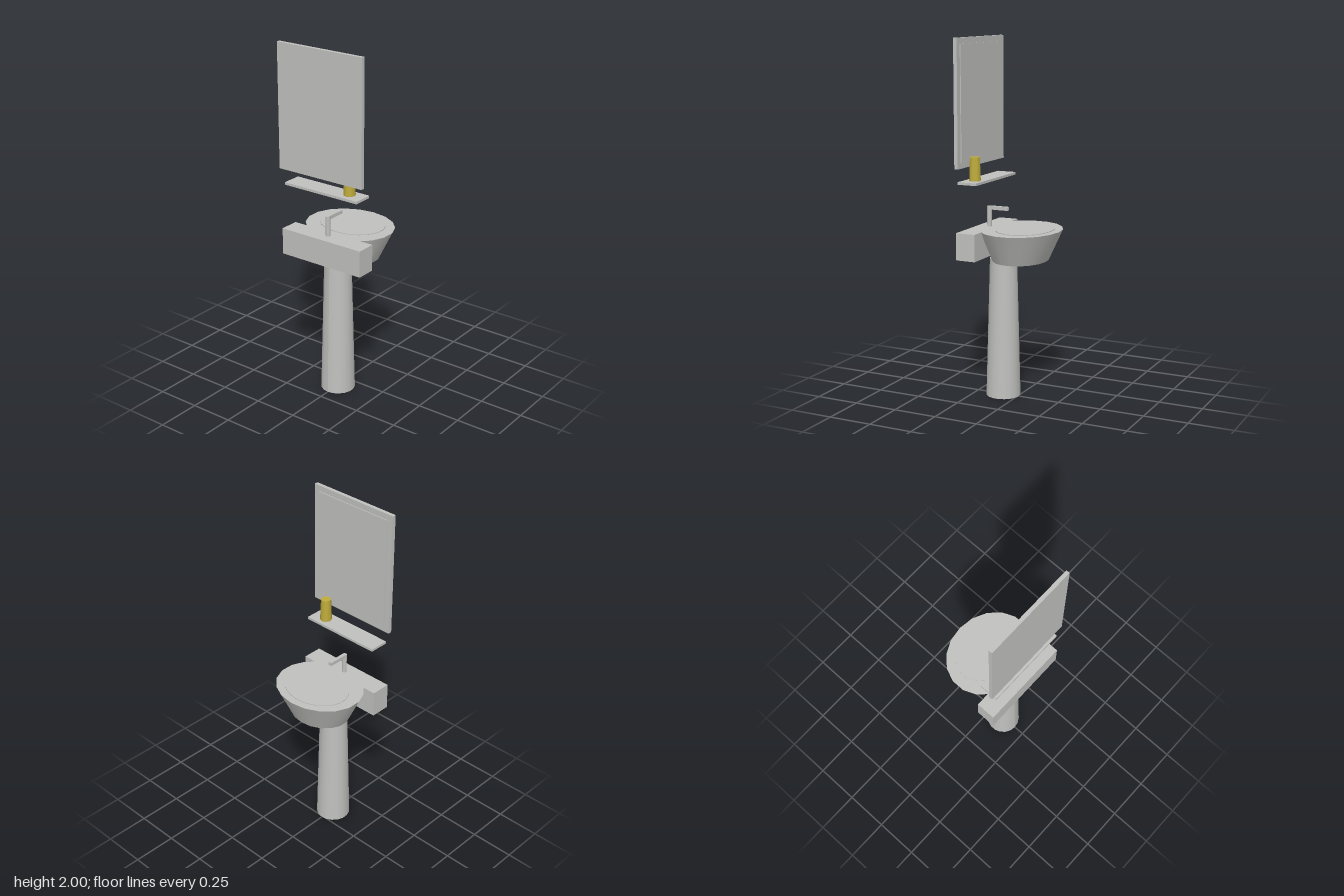
import * as THREE from 'three';

const ceramic = new THREE.MeshStandardMaterial({ color: 0xc0c0be });
ceramic.name = 'light grey';
const brass = new THREE.MeshStandardMaterial({ color: 0xc0ad3c });
brass.name = 'mustard yellow';

function add(group, name, geometry, material = ceramic) {
  const mesh = new THREE.Mesh(geometry, material);
  mesh.name = name;
  group.add(mesh);
}

// Box given by its extents on each axis
function box(x0, x1, y0, y1, z0, z1) {
  return new THREE.BoxGeometry(x1 - x0, y1 - y0, z1 - z0)
    .translate((x0 + x1) / 2, (y0 + y1) / 2, (z0 + z1) / 2);
}

// Elliptical tapered solid between two sections { y, z, rx, rz }
function taper(bottom, top, sides) {
  const geo = new THREE.CylinderGeometry(1, 1, 1, sides);
  const p = geo.attributes.position;
  for (let i = 0; i < p.count; i++) {
    const s = p.getY(i) > 0 ? top : bottom;
    p.setXYZ(i, p.getX(i) * s.rx, s.y, p.getZ(i) * s.rz + s.z);
  }
  geo.computeVertexNormals();
  return geo;
}

export function createModel() {
  const model = new THREE.Group();
  model.name = 'washbasin';

  // Pedestal
  add(model, 'pedestal', taper(
    { y: 0, z: 0.09, rx: 0.097, rz: 0.097 },
    { y: 0.79, z: 0.088, rx: 0.076, rz: 0.076 }, 18));

  // Bowl with slightly raised oval, and the block behind it
  add(model, 'basin', taper(
    { y: 0.788, z: -0.018, rx: 0.178, rz: 0.15 },
    { y: 0.96, z: -0.0235, rx: 0.26, rz: 0.2215 }, 18));
  add(model, 'basinInset', taper(
    { y: 0.958, z: -0.046, rx: 0.195, rz: 0.156 },
    { y: 0.964, z: -0.046, rx: 0.195, rz: 0.156 }, 18));
  add(model, 'wallBlock', box(-0.262, 0.262, 0.81, 0.96, 0.13, 0.242));

  // Tap
  const tap = new THREE.Group();
  tap.name = 'tap';
  add(tap, 'tapPost', new THREE.CylinderGeometry(0.013, 0.013, 0.115, 12).translate(0, 1.0155, 0.174));
  add(tap, 'tapSpout', box(-0.01, 0.01, 1.055, 1.075, 0.058, 0.176));
  model.add(tap);

  // Shelf and tumbler
  add(model, 'shelf', box(-0.239, 0.239, 1.22, 1.234, 0.13, 0.242));
  const cup = new THREE.CylinderGeometry(0.028, 0.033, 0.13, 8).translate(0.151, 1.298, 0.183);
  add(model, 'tumbler', cup, brass);

  // Mirror panel with its glass plate on the basin side
  add(model, 'mirrorFrame', box(-0.272, 0.272, 1.307, 2, 0.222, 0.243));
  add(model, 'mirrorGlass', box(-0.239, 0.239, 1.34, 1.967, 0.217, 0.223));

  return model;
}
